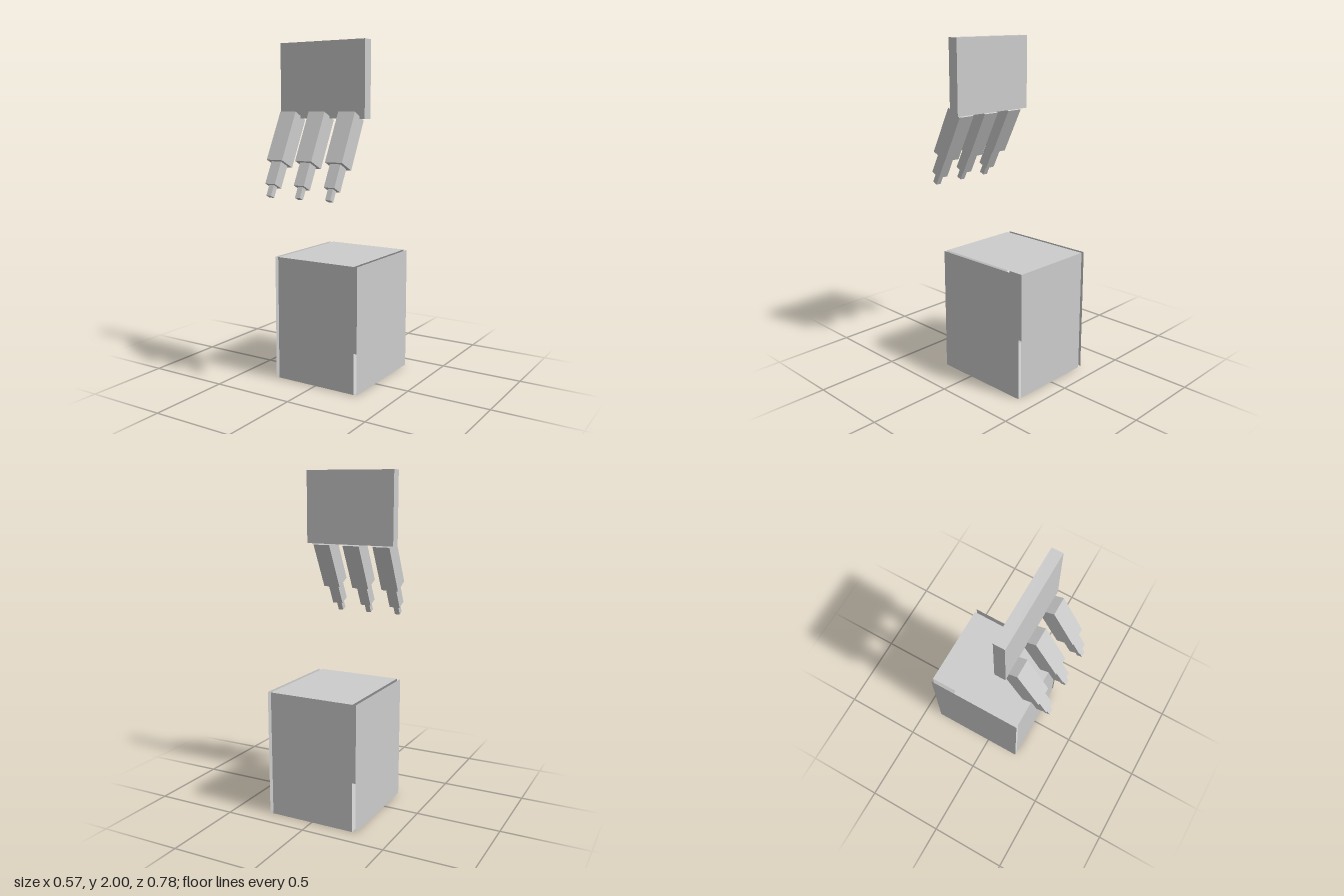
import * as THREE from 'three';

export function createModel() {
  const model = new THREE.Group();
  model.name = 'clawAndCrate';
  const grey = new THREE.MeshStandardMaterial({ color: 0xcccccc, side: THREE.DoubleSide });
  grey.name = 'grey';

  const add = (parent, name, geometry, x, y, z) => {
    const mesh = new THREE.Mesh(geometry, grey);
    mesh.name = name;
    mesh.position.set(x, y, z);
    parent.add(mesh);
    return mesh;
  };

  // Upright palm plate
  add(model, 'palm', new THREE.BoxGeometry(0.568, 0.433, 0.065), 0, 1.7835, 0.113);

  // Three fingers of shrinking segments, leaning forward: [width, length]
  const segments = [[0.108, 0.303], [0.067, 0.138], [0.033, 0.065]];
  for (const x of [-0.198, 0, 0.198]) {
    const finger = new THREE.Group();
    finger.name = 'finger';
    finger.position.set(x, 1.582, 0.148);
    finger.rotation.x = -0.463;
    let y = 0;
    segments.forEach(([w, l], i) => {
      add(finger, 'fingerSegment' + (i + 1), new THREE.BoxGeometry(w, l, w), 0, y - l / 2, 0);
      y -= l;
    });
    model.add(finger);
  }

  // Hollow crate of single-sheet panels; the side sheets stand slightly away
  const crate = new THREE.Group();
  crate.name = 'crate';
  crate.position.set(0, 0.374, -0.086);
  model.add(crate);
  const W = 0.524, H = 0.748, D = 0.612, sideX = 0.283;
  for (const s of [1, -1]) {
    add(crate, s > 0 ? 'frontPanel' : 'backPanel', new THREE.PlaneGeometry(W, H), 0, 0, s * D / 2)
      .rotation.y = s > 0 ? 0 : Math.PI;
    add(crate, s > 0 ? 'topPanel' : 'bottomPanel', new THREE.PlaneGeometry(W, D), 0, s * H / 2, 0)
      .rotation.x = -s * Math.PI / 2;
    add(crate, s > 0 ? 'leftPanel' : 'rightPanel', new THREE.PlaneGeometry(D, H), s * sideX, 0, 0)
      .rotation.y = s * Math.PI / 2;
  }
  return model;
}
